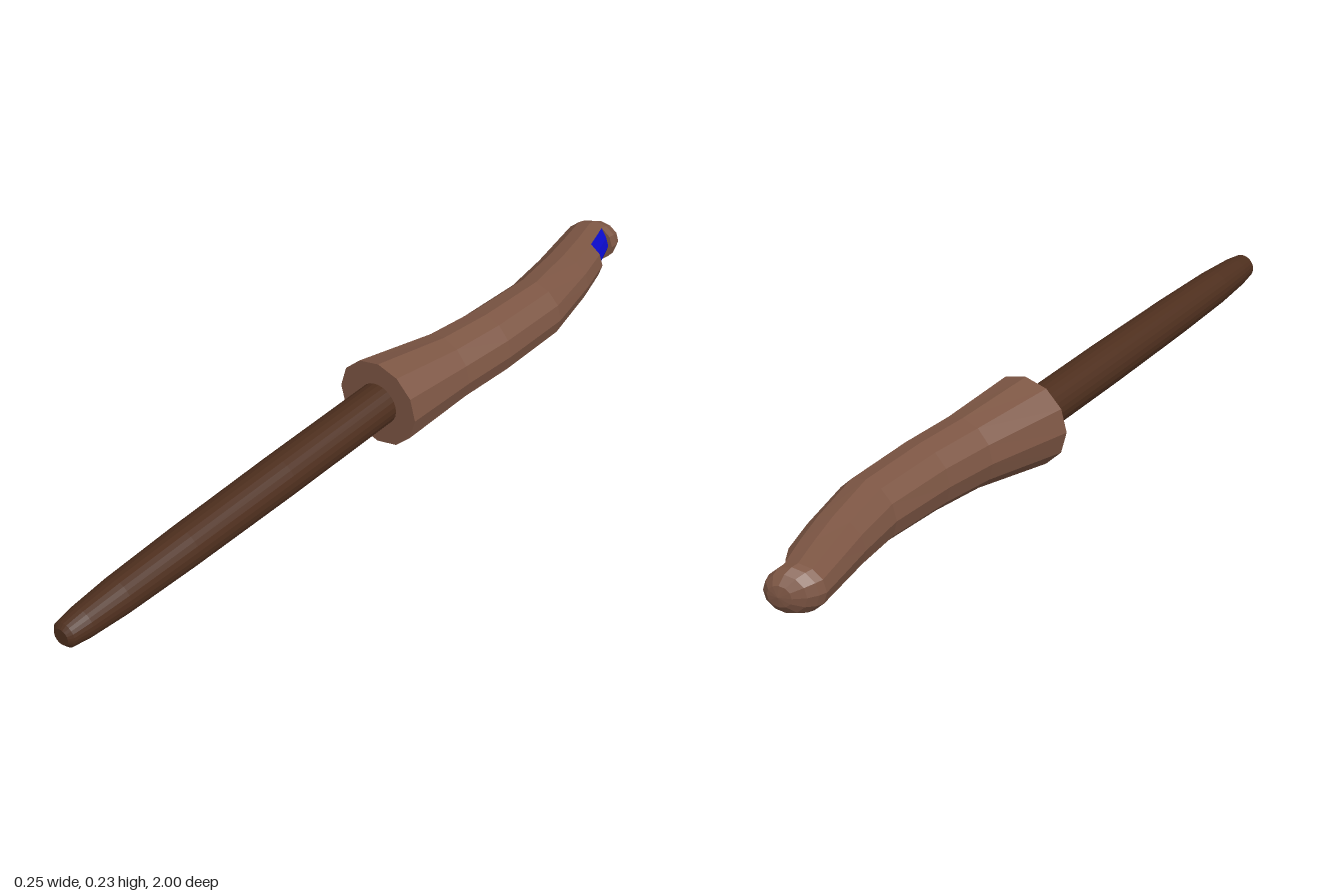
import * as THREE from 'three';

const SIDES = 12;
const CENTRE_Y = 0.115;

// Points of one ring from its left and right ends (x, z) and its half height.
function ring([lx, lz, rx, rz, h]) {
  return Array.from({ length: SIDES }, (_, j) => {
    const a = (j / SIDES) * Math.PI * 2;
    const t = (1 + Math.cos(a)) / 2;
    return new THREE.Vector3(lx + (rx - lx) * t, CENTRE_Y + h * Math.sin(a), lz + (rz - lz) * t);
  });
}

// Facets between two rings, for sides from..to.
function strip(out, a, b, from = 0, to = SIDES) {
  for (let s = from; s < to; s++) {
    const j = (s + SIDES) % SIDES, k = (j + 1) % SIDES;
    out.push(a[j], b[j], a[k], a[k], b[j], b[k]);
  }
}

function facetMesh(points, material, name) {
  const geometry = new THREE.BufferGeometry().setFromPoints(points);
  geometry.computeVertexNormals();
  const mesh = new THREE.Mesh(geometry, material);
  mesh.name = name;
  return mesh;
}

function material(name, color) {
  const m = new THREE.MeshStandardMaterial({ color });
  m.name = name;
  return m;
}

export function createModel() {
  const group = new THREE.Group();
  group.name = 'handledRod';
  const lightBrown = material('light brown', 0x7d5644);
  const darkBrown = material('dark brown', 0x4e2f1e);
  const blue = material('blue', 0x0b0bd0);

  // Bent handle, from its wide mouth to the start of the rounded end
  const rings = [
    [-0.128, -0.06, 0.099, -0.06, 0.114],
    [-0.07, -0.28, 0.106, -0.26, 0.089],
    [-0.05, -0.42, 0.118, -0.41, 0.085],
    [-0.04, -0.61, 0.121, -0.61, 0.08],
    [-0.058, -0.745, 0.088, -0.775, 0.07],
    [-0.077, -0.845, 0.061, -0.873, 0.063],
    [-0.092, -0.928, 0.031, -0.957, 0.058],
  ].map(ring);
  const near = rings[5], far = rings[6];
  const handle = [];
  for (let i = 0; i < 5; i++) strip(handle, rings[i], rings[i + 1]);

  // Shallow recess for the inlay over four sides, leaving the other eight
  const first = -2, last = 2;
  strip(handle, near, far, last, SIDES + first);
  const sink = (r) => {
    const centre = r[0].clone().lerp(r[6], 0.5);
    return r.map((p, j) => ([11, 0, 1].includes(j) ? p.clone().lerp(centre, 0.16) : p));
  };
  const nearSunk = sink(near), farSunk = sink(far);
  strip(handle, near, nearSunk, first, last);
  strip(handle, farSunk, far, first, last);

  // Flat mouth
  const mouth = new THREE.Vector3(-0.0145, CENTRE_Y, -0.06);
  rings[0].forEach((p, j) => handle.push(mouth, p, rings[0][(j + 1) % SIDES]));

  // Rounded end
  const endCentre = far[0].clone().lerp(far[6], 0.5);
  const tip = new THREE.Vector3(0.012, 0, -0.058);
  let previous = far;
  for (const [scale, along] of [[0.96, 0.3], [0.8, 0.65], [0.45, 0.92], [0, 1]]) {
    const next = far.map((p) => p.clone().sub(endCentre).multiplyScalar(scale)
      .add(endCentre).addScaledVector(tip, along));
    strip(handle, previous, next);
    previous = next;
  }
  group.add(facetMesh(handle, lightBrown, 'handle'));

  // Inlay
  const inlay = [];
  strip(inlay, nearSunk, farSunk, first, last);
  group.add(facetMesh(inlay, blue, 'inlay'));

  // Tapered rod
  const profile = [
    [0, -0.1], [0.054, -0.1], [0.054, 0.3], [0.051, 0.62], [0.046, 0.83],
    [0.039, 0.94], [0.032, 0.99], [0.021, 1], [0, 1],
  ].map(([r, z]) => new THREE.Vector2(r, z));
  const rodGeometry = new THREE.LatheGeometry(profile, 24).toNonIndexed();
  rodGeometry.computeVertexNormals();
  rodGeometry.rotateX(Math.PI / 2);
  const rod = new THREE.Mesh(rodGeometry, darkBrown);
  rod.name = 'rod';
  rod.position.set(-0.0125, CENTRE_Y, 0);
  group.add(rod);

  return group;
}
